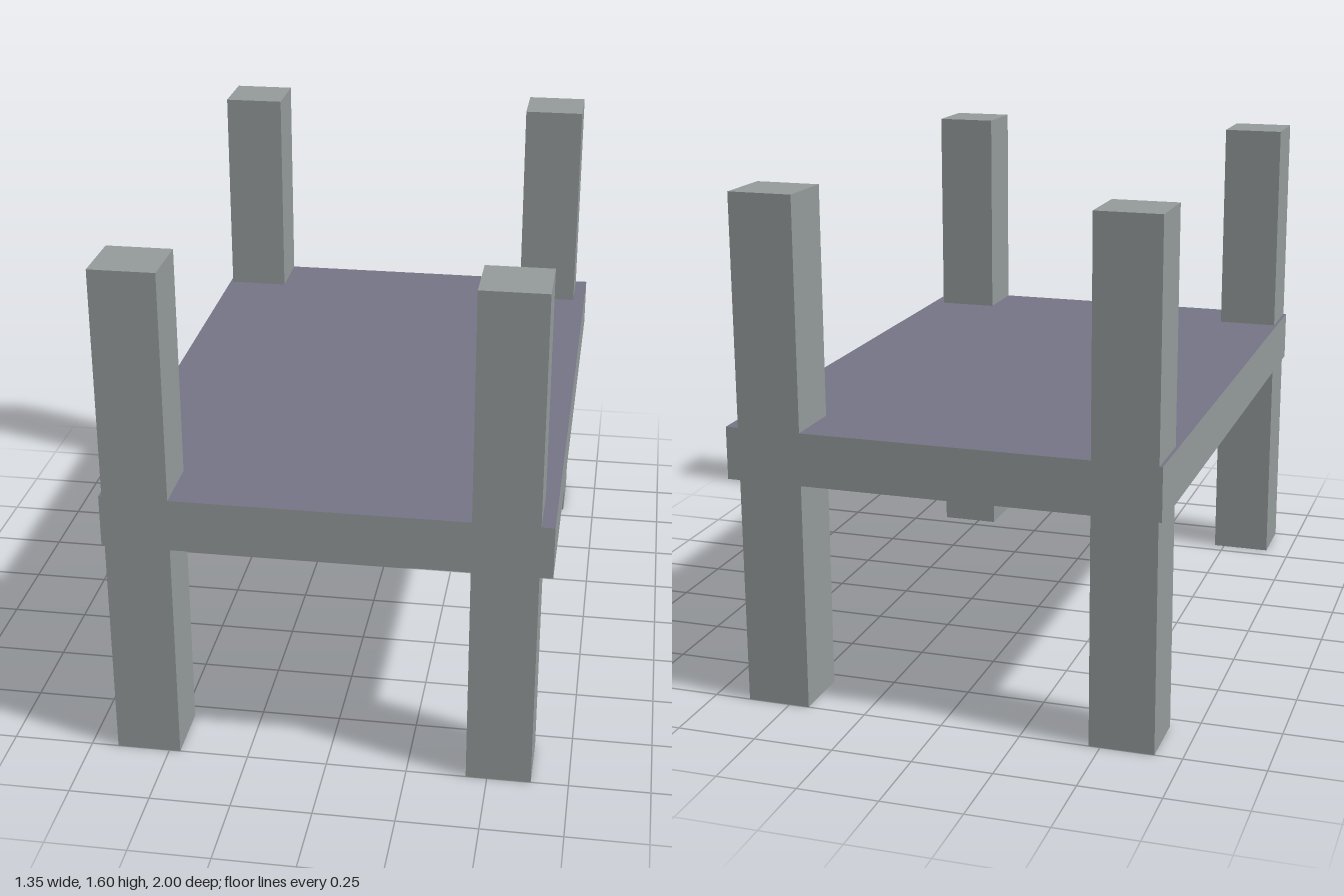
import * as THREE from 'three';

export function createModel() {
  const model = new THREE.Group();
  model.name = 'bedFrame';

  const frameGrey = new THREE.MeshStandardMaterial({ color: 0x949b9a });
  frameGrey.name = 'frameGrey';
  const sheetBlue = new THREE.MeshStandardMaterial({ color: 0x747587 });
  sheetBlue.name = 'sheetBlue';

  // Platform: grey slab whose upper face (+y group) is blue
  const platform = new THREE.Mesh(
    new THREE.BoxGeometry(1.35, 0.165, 2),
    [frameGrey, frameGrey, sheetBlue, frameGrey, frameGrey, frameGrey]
  );
  platform.name = 'platform';
  platform.position.y = 0.8025;
  model.add(platform);

  // Four square corner posts, set slightly towards -x
  const postGeometry = new THREE.BoxGeometry(0.2, 1.6, 0.2);
  for (const [side, x] of [['Left', 0.535], ['Right', -0.565]]) {
    for (const [end, z] of [['front', 0.9], ['back', -0.9]]) {
      const post = new THREE.Mesh(postGeometry, frameGrey);
      post.name = `${end}${side}Post`;
      post.position.set(x, 0.8, z);
      model.add(post);
    }
  }

  return model;
}
